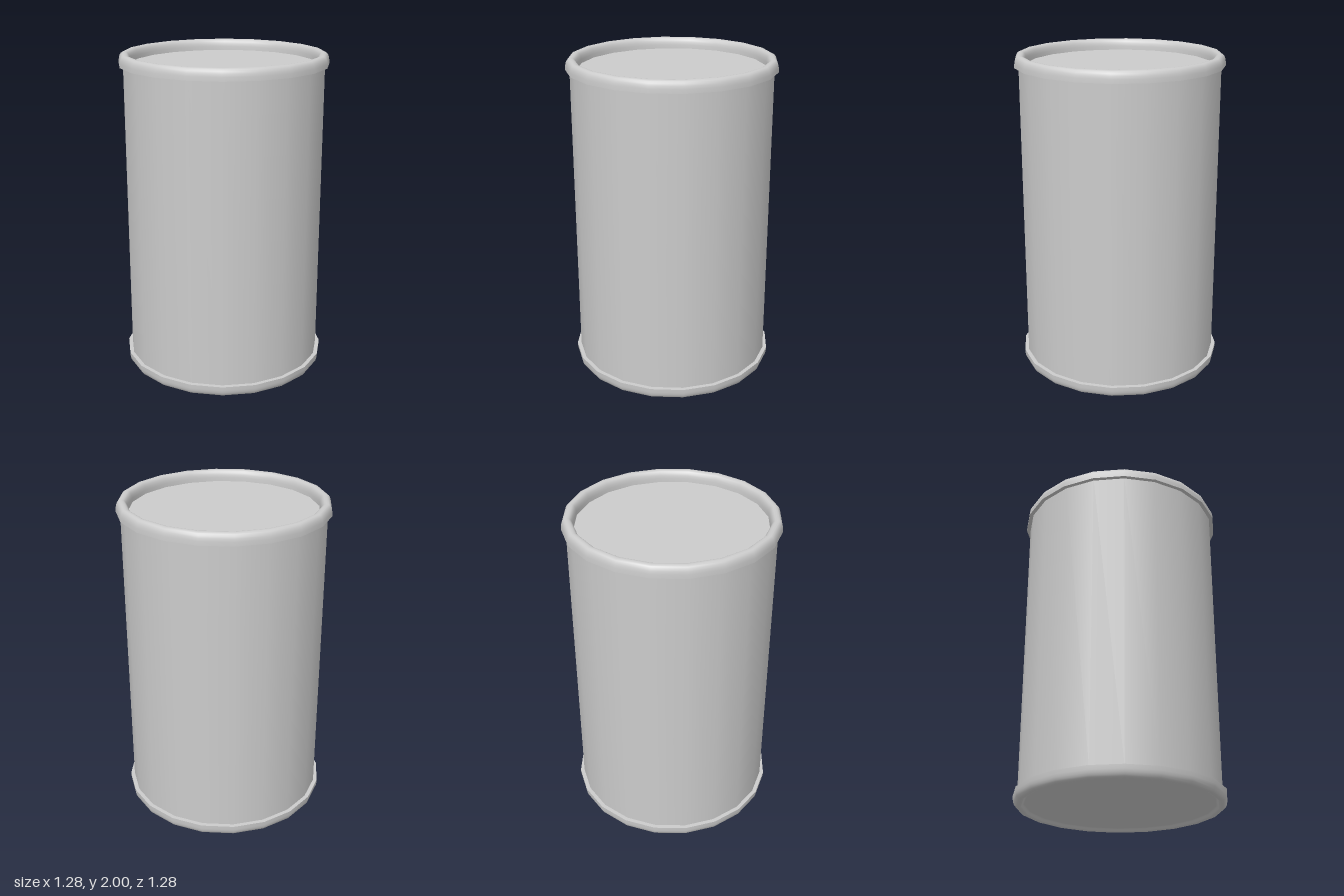
import * as THREE from 'three';

const SIDES = 20;
const HEIGHT = 2;
const material = new THREE.MeshStandardMaterial({ color: 0xcccccc, side: THREE.DoubleSide });

function lathe(name, points) {
  const profile = points.map(([r, y]) => new THREE.Vector2(r, y));
  const mesh = new THREE.Mesh(new THREE.LatheGeometry(profile, SIDES), material);
  mesh.name = name;
  return mesh;
}

// One end of the can: rolled rim, its flat underside and a lid sunk by the given depth
function createEnd(name, lidDepth) {
  const rimRadius = 0.605, halfWidth = 0.035, rimHeight = 0.07;
  const base = HEIGHT - rimHeight, lidY = HEIGHT - lidDepth;

  // Slightly squared arch, from the outer lower edge over the top to the lid
  const arch = [];
  for (let i = 0; i <= 12; i++) {
    const a = (i / 12) * Math.PI, c = Math.cos(a);
    const r = rimRadius + halfWidth * Math.sign(c) * Math.abs(c) ** 0.8;
    const y = base + rimHeight * Math.abs(Math.sin(a)) ** 0.8;
    if (c > 0 || y > lidY) arch.push([r, y]);
  }
  arch.push([0.57, lidY], [0.545, lidY], [0, lidY]);

  const end = new THREE.Group();
  end.name = name;
  end.add(
    lathe('rimAndLid', arch),
    lathe('rimUnderside', [[0.61, base], [0.64, base]])
  );
  return end;
}

export function createModel() {
  const can = new THREE.Group();
  can.name = 'can';

  // Straight wall between the two rims
  can.add(lathe('body', [[0.615, 0.06], [0.615, HEIGHT - 0.06]]));

  // Deep lid on top, a shallower one turned over for the bottom
  const bottom = createEnd('bottomEnd', 0.02);
  bottom.rotation.x = Math.PI;
  bottom.position.y = HEIGHT;
  can.add(createEnd('topEnd', 0.07), bottom);

  return can;
}
